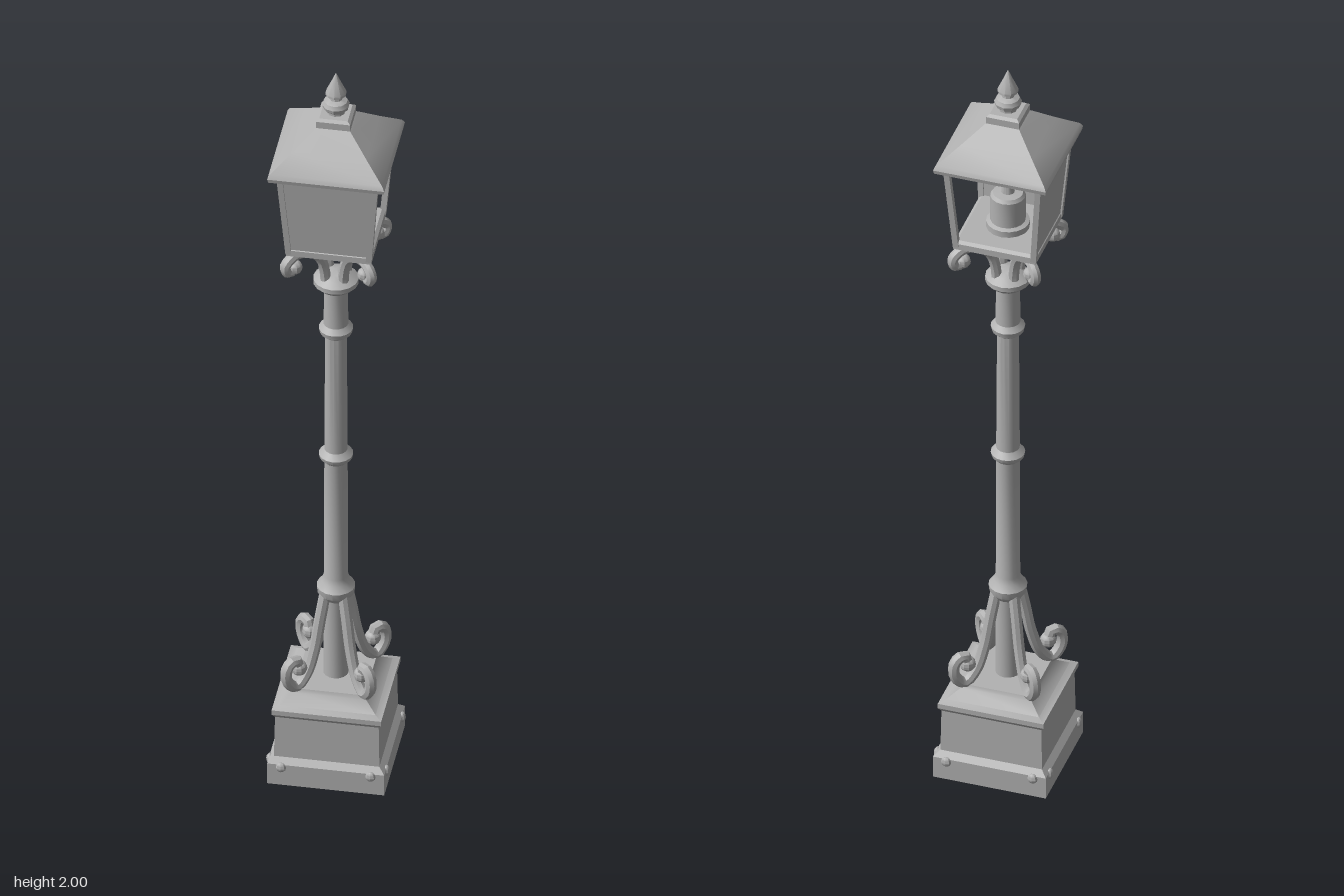
import * as THREE from 'three';
import { toCreasedNormals } from 'three/addons/utils/BufferGeometryUtils.js';

export function createModel() {
  const model = new THREE.Group();
  model.name = 'streetLamp';
  const castMetal = new THREE.MeshStandardMaterial({ color: 0xb2b2b2 });
  castMetal.name = 'cast metal grey';

  const add = (name, geometry, parent = model) => {
    const mesh = new THREE.Mesh(toCreasedNormals(geometry, 0.6), castMetal);
    mesh.name = name;
    parent.add(mesh);
    return mesh;
  };
  // Turned part from [radius, y] pairs, bottom to top
  const turned = (profile, sides = 16) =>
    new THREE.LatheGeometry(profile.map(([r, y]) => new THREE.Vector2(r, y)), sides);
  // Four-sided part from [half width, y] pairs
  const square = (profile) =>
    turned(profile.map(([h, y]) => [h * Math.SQRT2, y]), 4).rotateY(Math.PI / 4);

  // Stepped pedestal with a sloping cap
  add('pedestal', square([
    [0, 0], [0.14, 0], [0.14, 0.058], [0.126, 0.072], [0.124, 0.185], [0.131, 0.195],
    [0.131, 0.208], [0.115, 0.214], [0.088, 0.235], [0.084, 0.245], [0, 0.245],
  ]));

  // Small studs near the pedestal corners, two on each face
  for (let i = 0; i < 4; i++) {
    for (const x of [-0.107, 0.107]) {
      const stud = new THREE.SphereGeometry(0.013, 8, 6);
      stud.scale(1, 1, 0.7).translate(x, 0.05, 0.139).rotateY(i * Math.PI / 2);
      add('pedestalStud', stud);
    }
  }

  // Post with four collars
  add('post', turned([
    [0, 0.24], [0.03, 0.24], [0.03, 0.465], [0.044, 0.482], [0.046, 0.5], [0.034, 0.515],
    [0.029, 0.53], [0.028, 0.865], [0.039, 0.876], [0.041, 0.886], [0.028, 0.9],
    [0.026, 1.232], [0.038, 1.242], [0.041, 1.255], [0.03, 1.268], [0.028, 1.365],
    [0.04, 1.374], [0.054, 1.388], [0.054, 1.4], [0.036, 1.412], [0.022, 1.42], [0, 1.425],
  ]));

  // Scrolled brackets on the four diagonals
  const footPath = [
    [0.03, 0.49], [0.045, 0.42], [0.061, 0.34], [0.085, 0.275], [0.115, 0.248],
    [0.141, 0.277], [0.138, 0.315], [0.115, 0.325], [0.106, 0.3],
  ];
  const headPath = [
    [0.03, 1.39], [0.032, 1.43], [0.046, 1.477], [0.08, 1.508], [0.12, 1.513],
    [0.146, 1.492], [0.136, 1.47], [0.118, 1.48],
  ];
  const bracket = (name, path, radius) => {
    const points = path.map(([r, y]) => new THREE.Vector3(r, y, 0));
    const curve = new THREE.CatmullRomCurve3(points);
    const end = points[points.length - 1];
    for (let i = 0; i < 4; i++) {
      const group = new THREE.Group();
      group.name = name;
      group.rotation.y = Math.PI / 4 + i * Math.PI / 2;
      add(name + 'Scroll', new THREE.TubeGeometry(curve, 32, radius, 8), group);
      add(name + 'Tip', new THREE.SphereGeometry(radius * 1.4, 10, 8), group).position.copy(end);
      model.add(group);
    }
  };
  bracket('footBracket', footPath, 0.014);
  bracket('headBracket', headPath, 0.013);

  // Lantern floor, flaring corner bars and solid front and right panels
  const lantern = new THREE.Group();
  lantern.name = 'lantern';
  model.add(lantern);
  const bottom = 0.096, top = 0.115, low = 1.53, high = 1.77;
  add('lanternFloor', square([
    [0, 1.515], [0.09, 1.515], [0.102, 1.524], [0.102, 1.54], [0.094, 1.546], [0, 1.546],
  ]), lantern);

  const up = new THREE.Vector3(0, 1, 0);
  for (const sx of [-1, 1]) {
    for (const sz of [-1, 1]) {
      const a = new THREE.Vector3(sx * bottom, low, sz * bottom);
      const b = new THREE.Vector3(sx * top, high, sz * top);
      const axis = b.clone().sub(a);
      const bar = add('cornerBar', new THREE.BoxGeometry(0.014, axis.length(), 0.014), lantern);
      bar.position.copy(a).add(b).multiplyScalar(0.5);
      bar.quaternion.setFromUnitVectors(up, axis.normalize());
    }
  }

  const slant = Math.hypot(high - low, top - bottom);
  const panelShape = new THREE.Shape([
    new THREE.Vector2(-bottom, 0), new THREE.Vector2(bottom, 0),
    new THREE.Vector2(top, slant), new THREE.Vector2(-top, slant),
  ]);
  [['frontPanel', 0], ['rightPanel', -Math.PI / 2]].forEach(([name, turn]) => {
    const panel = new THREE.ExtrudeGeometry(panelShape, { depth: 0.006, bevelEnabled: false });
    panel.translate(0, 0, -0.003).rotateX(Math.atan2(top - bottom, high - low));
    panel.translate(0, low, bottom).rotateY(turn);
    add(name, panel, lantern);
  });

  // Lamp holder inside the lantern
  add('lampHolder', turned([
    [0, 1.54], [0.052, 1.54], [0.052, 1.562], [0.042, 1.566], [0.042, 1.635],
    [0.036, 1.643], [0.016, 1.645], [0.014, 1.664], [0, 1.666],
  ]), lantern);

  // Hollow hipped roof with a rolled eave
  add('roof', square([
    [0, 1.85], [0.035, 1.85], [0.122, 1.768], [0.13, 1.757], [0.138, 1.76], [0.14, 1.77],
    [0.134, 1.781], [0.088, 1.82], [0.046, 1.858], [0.041, 1.862], [0.041, 1.88],
    [0.034, 1.886], [0, 1.886],
  ]), lantern);

  // Turned finial with a pointed tip
  add('finial', turned([
    [0.022, 1.88], [0.022, 1.892], [0.031, 1.9], [0.033, 1.909], [0.028, 1.919],
    [0.016, 1.925], [0.015, 1.932], [0.025, 1.938], [0.025, 1.944], [0.012, 1.972], [0, 2],
  ], 10), lantern);

  return model;
}
